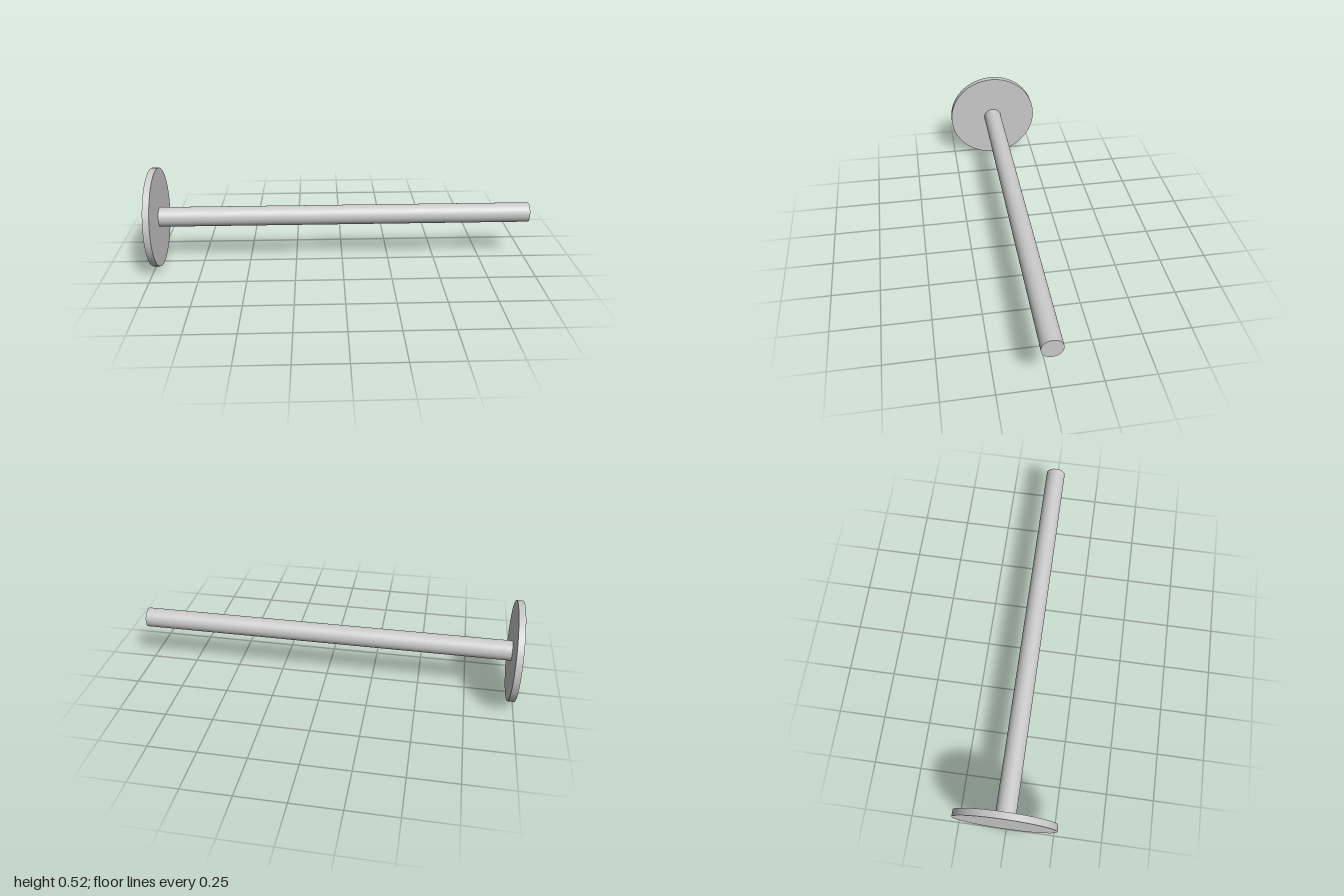
import * as THREE from 'three';

const AXIS_Y = 0.261; // height of the shared axis

export function createModel() {
  const group = new THREE.Group();
  const material = new THREE.MeshStandardMaterial({ color: 0xcccccc });

  // Cylinder lying along x, from x0 to x1
  function addCylinder(name, radius, x0, x1, sides) {
    const geometry = new THREE.CylinderGeometry(radius, radius, x1 - x0, sides);
    geometry.rotateZ(-Math.PI / 2);
    const mesh = new THREE.Mesh(geometry, material);
    mesh.name = name;
    mesh.position.set((x0 + x1) / 2, AXIS_Y, 0);
    group.add(mesh);
  }

  // Flat round head at one end, long rod running from its inner face
  addCylinder('headDisc', 0.261, -1, -0.966, 96);
  addCylinder('rod', 0.052, -0.966, 1, 64);

  return group;
}
